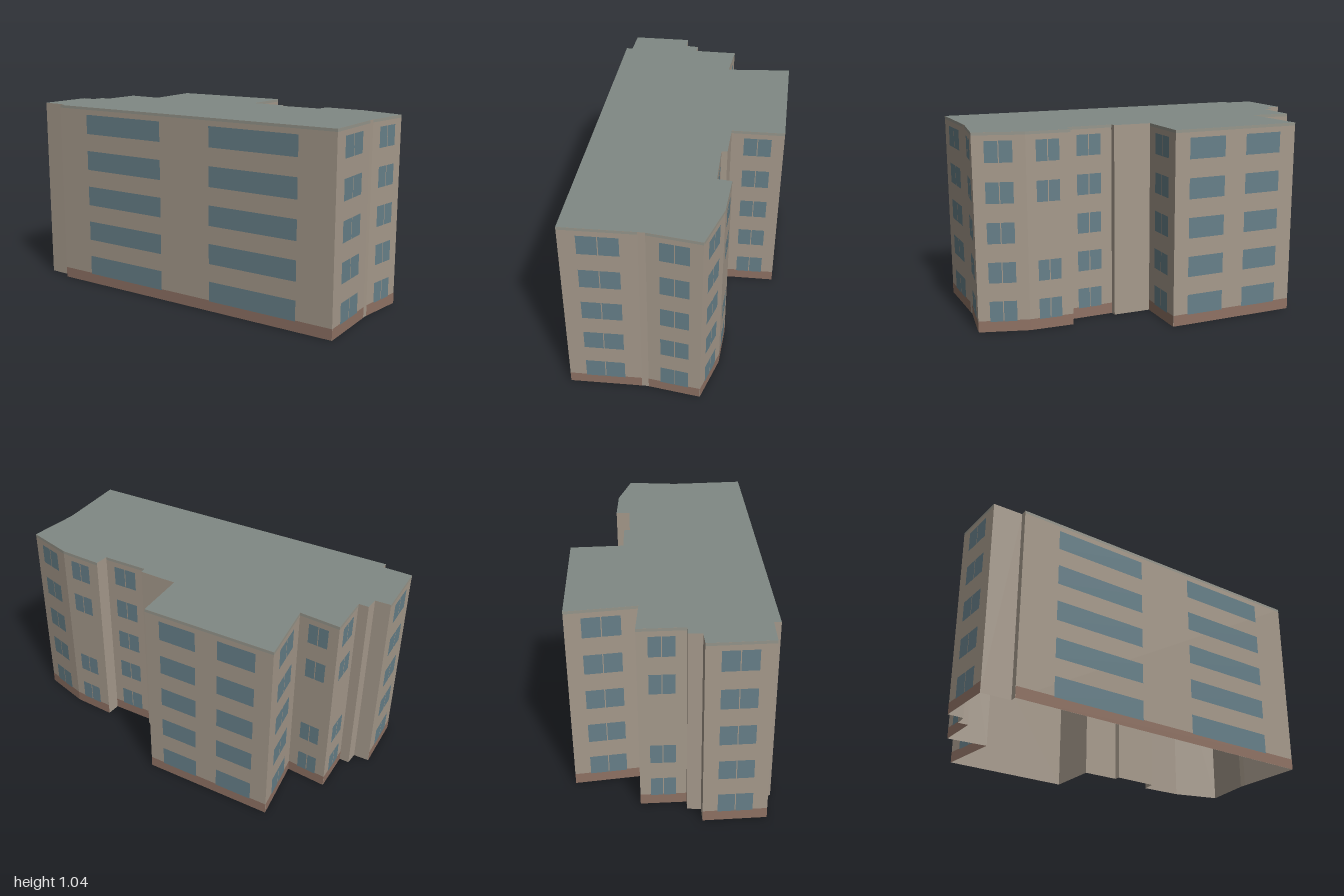
import * as THREE from 'three';

const HEIGHT = 1.04, FLOORS = 5, STOREY = 0.208, SILL = 0.055, WINDOW_H = 0.11;

const paint = (color, side = THREE.FrontSide) => new THREE.MeshStandardMaterial({ color, side });

// Footprint corners [x, z], each with the windows of the wall that starts there:
// spans = [from, to] along the wall, split = two panes, skip = floor without a window
const CORNERS = [
  { p: [-0.585, -0.923], spans: [[0.23, 0.77]], split: true },
  { p: [-0.27, -1.0] },
  { p: [-0.25, -0.92] },
  { p: [-0.18, -0.93] },
  { p: [-0.17, -0.877], spans: [[0.23, 0.77]], split: true, skip: 2 },
  { p: [0.06, -0.93], spans: [[0.25, 0.75]], split: true, skip: 2 },
  { p: [0.09, -0.715], spans: [[0.24, 0.77]], split: true },
  { p: [0.43, -0.83], spans: [[0.13, 0.42], [0.594, 0.884]] },
  { p: [0.585, -0.14], spans: [[0.24, 0.76]], split: true },
  { p: [0.31, -0.07] },
  { p: [0.35, 0.13] },
  { p: [0.32, 0.14], spans: [[0.25, 0.79]], split: true },
  { p: [0.375, 0.38] },
  { p: [0.45, 0.37], spans: [[0.26, 0.78]], split: true, skip: 2 },
  { p: [0.49, 0.6], spans: [[0.245, 0.77]], split: true },
  { p: [0.473, 0.865], spans: [[0.23, 0.76]], split: true },
  { p: [0.2, 0.892] },
  { p: [0.165, 0.9], spans: [[0.23, 0.767]], split: true },
  { p: [-0.2, 0.997], spans: [[0.115, 0.41], [0.59, 0.885]] },
  { p: [-0.59, -0.76] },
  { p: [-0.555, -0.767] },
];

export function createModel() {
  const model = new THREE.Group();
  model.name = 'apartmentBlock';

  const wallMat = paint(0xa69a8c, THREE.DoubleSide);
  const roofMat = paint(0x808984, THREE.DoubleSide);
  const baseMat = paint(0x8f7264);
  const corniceMat = paint(0x96968c);
  const glassMat = paint(0x678089);

  CORNERS.forEach(({ p: a, spans, split, skip }, i) => {
    const b = CORNERS[(i + 1) % CORNERS.length].p;
    const dx = b[0] - a[0], dz = b[1] - a[1];
    const length = Math.hypot(dx, dz);

    // Wall frame: local +z points outward, local x runs along the wall
    const side = new THREE.Group();
    side.name = 'facade';
    side.position.set((a[0] + b[0]) / 2, 0, (a[1] + b[1]) / 2);
    side.rotation.y = Math.atan2(dz, -dx);
    model.add(side);

    // Flat panel from fraction t0 to t1 of the wall, standing slightly proud
    const panel = (name, material, t0, t1, y0, y1, proud) => {
      const mesh = new THREE.Mesh(new THREE.PlaneGeometry((t1 - t0) * length, y1 - y0), material);
      mesh.name = name;
      mesh.position.set((0.5 - (t0 + t1) / 2) * length, (y0 + y1) / 2, proud);
      side.add(mesh);
    };

    panel('wall', wallMat, 0, 1, 0, HEIGHT, 0);
    if (!spans) return;
    panel('basePlinth', baseMat, 0, 1, 0, 0.06, 0.001);
    panel('cornice', corniceMat, 0, 1, 1.025, HEIGHT, 0.001);

    for (let floor = 0; floor < FLOORS; floor++) {
      if (floor === skip) continue;
      const y = SILL + floor * STOREY;
      for (const [t0, t1] of spans) {
        if (split) {
          // Two panes with a narrow mullion gap
          const mid = (t0 + t1) / 2, gap = 0.0025 / length;
          panel('windowPane', glassMat, t0, mid - gap, y, y + WINDOW_H, 0.002);
          panel('windowPane', glassMat, mid + gap, t1, y, y + WINDOW_H, 0.002);
        } else {
          panel('windowPane', glassMat, t0, t1, y, y + WINDOW_H, 0.002);
        }
      }
    }
  });

  // Flat roof following the footprint
  const outline = new THREE.Shape(CORNERS.map(({ p }) => new THREE.Vector2(p[0], -p[1])));
  const roof = new THREE.Mesh(new THREE.ShapeGeometry(outline).rotateX(-Math.PI / 2), roofMat);
  roof.name = 'roof';
  roof.position.y = HEIGHT;
  model.add(roof);

  return model;
}
